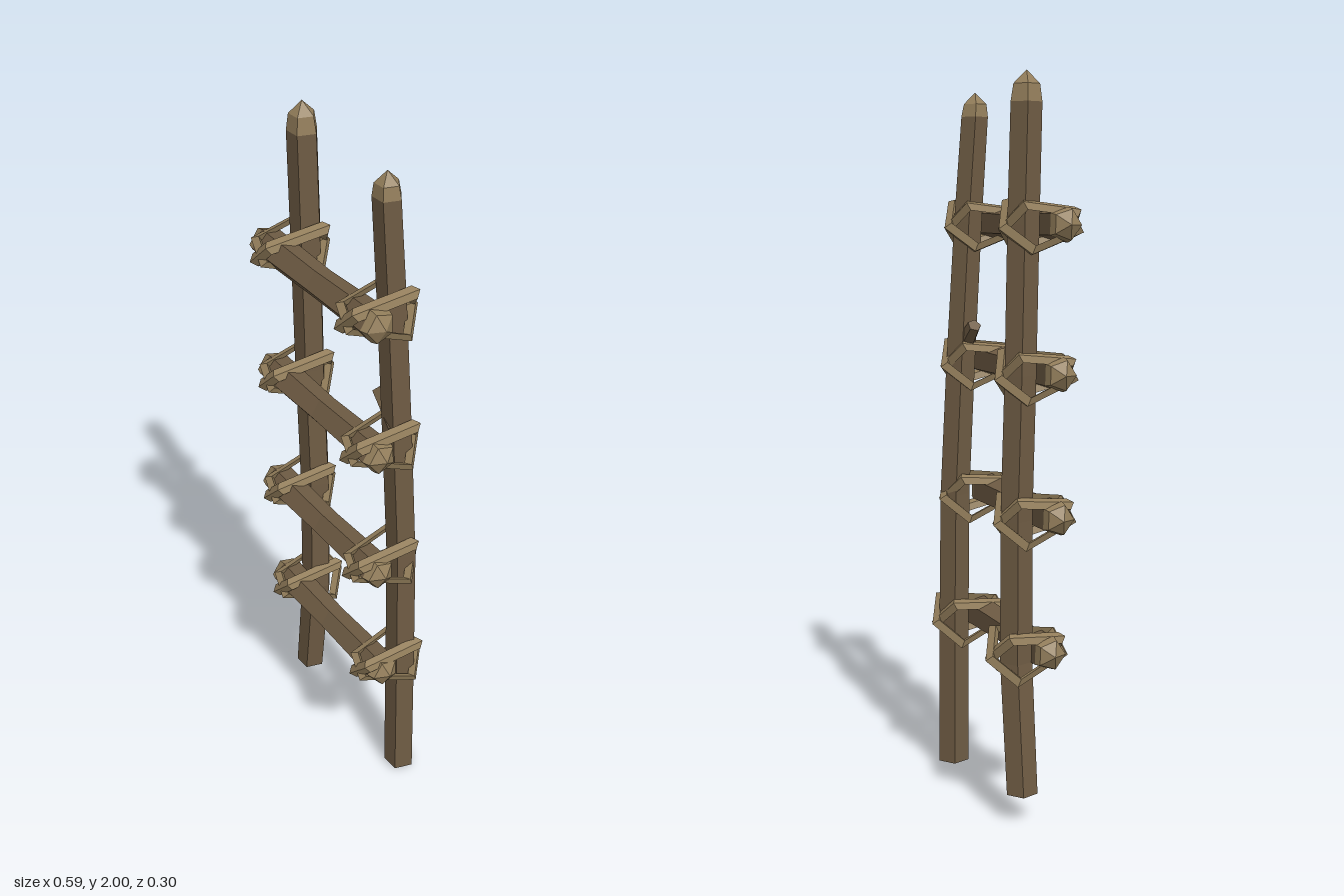
import * as THREE from 'three';

const wood = new THREE.MeshStandardMaterial({ color: 0x6f5c44, flatShading: true });
wood.name = 'wood';
const pale = new THREE.MeshStandardMaterial({ color: 0x937e5b, flatShading: true });
pale.name = 'rope and cut wood';

const X = new THREE.Vector3(1, 0, 0), Y = new THREE.Vector3(0, 1, 0), Z = new THREE.Vector3(0, 0, 1);

// Five-sided pole through rings [x, y, z, radius, isCut]; isCut paints the span above that ring pale.
// u and v span the cross-section, with u x v along the pole.
function pole(name, rings, u, v, turn) {
  const SIDES = 5, geo = new THREE.BufferGeometry(), pos = [];
  const point = (ring, k) => {
    const a = turn + (k / SIDES) * Math.PI * 2;
    return new THREE.Vector3(ring[0], ring[1], ring[2])
      .addScaledVector(u, Math.cos(a) * ring[3])
      .addScaledVector(v, Math.sin(a) * ring[3]);
  };
  for (let i = 0; i < rings.length - 1; i++) {
    const lo = rings[i], hi = rings[i + 1], start = pos.length / 3;
    for (let k = 0; k < SIDES; k++) {
      const a = point(lo, k), b = point(lo, k + 1), c = point(hi, k + 1), d = point(hi, k);
      if (lo[3] > 0) for (const p of [a, b, c]) pos.push(p.x, p.y, p.z);
      if (hi[3] > 0) for (const p of [a, c, d]) pos.push(p.x, p.y, p.z);
    }
    geo.addGroup(start, pos.length / 3 - start, lo[4] ? 1 : 0);
  }
  geo.setAttribute('position', new THREE.Float32BufferAttribute(pos, 3));
  geo.computeVertexNormals();
  const mesh = new THREE.Mesh(geo, [wood, pale]);
  mesh.name = name;
  return mesh;
}

// Kite-shaped rope loop, pointed at the back and narrow over the rung
const LOOP = [[-0.105, 0], [-0.06, 0.08], [0.09, 0.036], [0.09, -0.036], [-0.06, -0.08]];
function ropeLoop(side, size) {
  const geo = new THREE.TorusGeometry(1, 0.1, 4, 5);
  const p = geo.attributes.position;
  for (let j = 0; j <= 4; j++) for (let i = 0; i <= 5; i++) {
    const a = (j / 4) * Math.PI * 2;
    const [z, d] = LOOP[i % 5];
    const s = size * (1 + 0.15 * Math.cos(a));
    p.setXYZ(j * 6 + i, Math.sin(a) * 0.018, d * s, z * s);
  }
  geo.computeVertexNormals();
  geo.rotateX(-0.12);
  geo.rotateZ(side * Math.PI / 4);
  const mesh = new THREE.Mesh(geo, pale);
  mesh.name = side > 0 ? 'ropeLoopA' : 'ropeLoopB';
  return mesh;
}

export function createModel() {
  const model = new THREE.Group();
  model.name = 'ladder';

  // Uprights, with pale pointed tops
  model.add(pole('rightPost', [
    [-0.237, 0.07, -0.045, 0], [-0.237, 0.08, -0.045, 0.044], [-0.197, 0.44, -0.045, 0.046],
    [-0.197, 0.83, -0.045, 0.045], [-0.206, 1.22, -0.038, 0.044], [-0.205, 1.61, -0.03, 0.044],
    [-0.205, 1.92, -0.022, 0.043, true], [-0.205, 1.965, -0.021, 0.036, true], [-0.205, 2, -0.02, 0],
  ], Z, X, Math.PI));
  model.add(pole('leftPost', [
    [0.23, 0, -0.05, 0], [0.23, 0.015, -0.05, 0.046], [0.222, 0.46, -0.05, 0.045],
    [0.217, 0.83, -0.047, 0.044], [0.205, 1.22, -0.032, 0.043], [0.196, 1.61, -0.012, 0.041],
    [0.192, 1.9, 0.008, 0.039, true], [0.192, 1.935, 0.01, 0.033, true], [0.192, 1.967, 0.011, 0],
  ], Z, X, Math.PI));

  // Rungs, lashed in front of the uprights: [right y, left y, z]
  const rungs = [[0.467, 0.457, 0.035], [0.835, 0.828, 0.058], [1.22, 1.213, 0.062], [1.61, 1.605, 0.074]];
  rungs.forEach(([yr, yl, z], n) => {
    const ym = (yr + yl) / 2, zr = z - 0.008, zl = z + 0.008;
    model.add(pole('rung' + (n + 1), [
      [-0.295, yr, zr, 0, true], [-0.272, yr, zr, 0.042, true], [-0.25, yr, zr, 0.048],
      [0, ym - 0.003, z, 0.043],
      [0.25, yl, zl, 0.048, true], [0.272, yl, zl, 0.042, true], [0.293, yl, zl, 0],
    ], Y, Z, 0.35));

    // Crossed rope lashing at each joint
    const joints = [['right', -0.2, yr, zr], ['left', 0.2 + 0.006 * (3 - n), yl, zl]];
    for (const [side, x, y, jz] of joints) {
      const lashing = new THREE.Group();
      lashing.name = side + 'Lashing' + (n + 1);
      lashing.position.set(x, y, jz - 0.04);
      lashing.add(ropeLoop(1, 1), ropeLoop(-1, 1.06));
      model.add(lashing);
    }
  });

  // Broken twig on the left post
  const twigGeo = new THREE.CylinderGeometry(0.02, 0.028, 0.11, 5);
  const twig = new THREE.Mesh(twigGeo, wood);
  twig.name = 'twig';
  twig.position.set(0.172, 1.287, -0.02);
  twig.rotation.z = 0.85;
  model.add(twig);

  return model;
}
